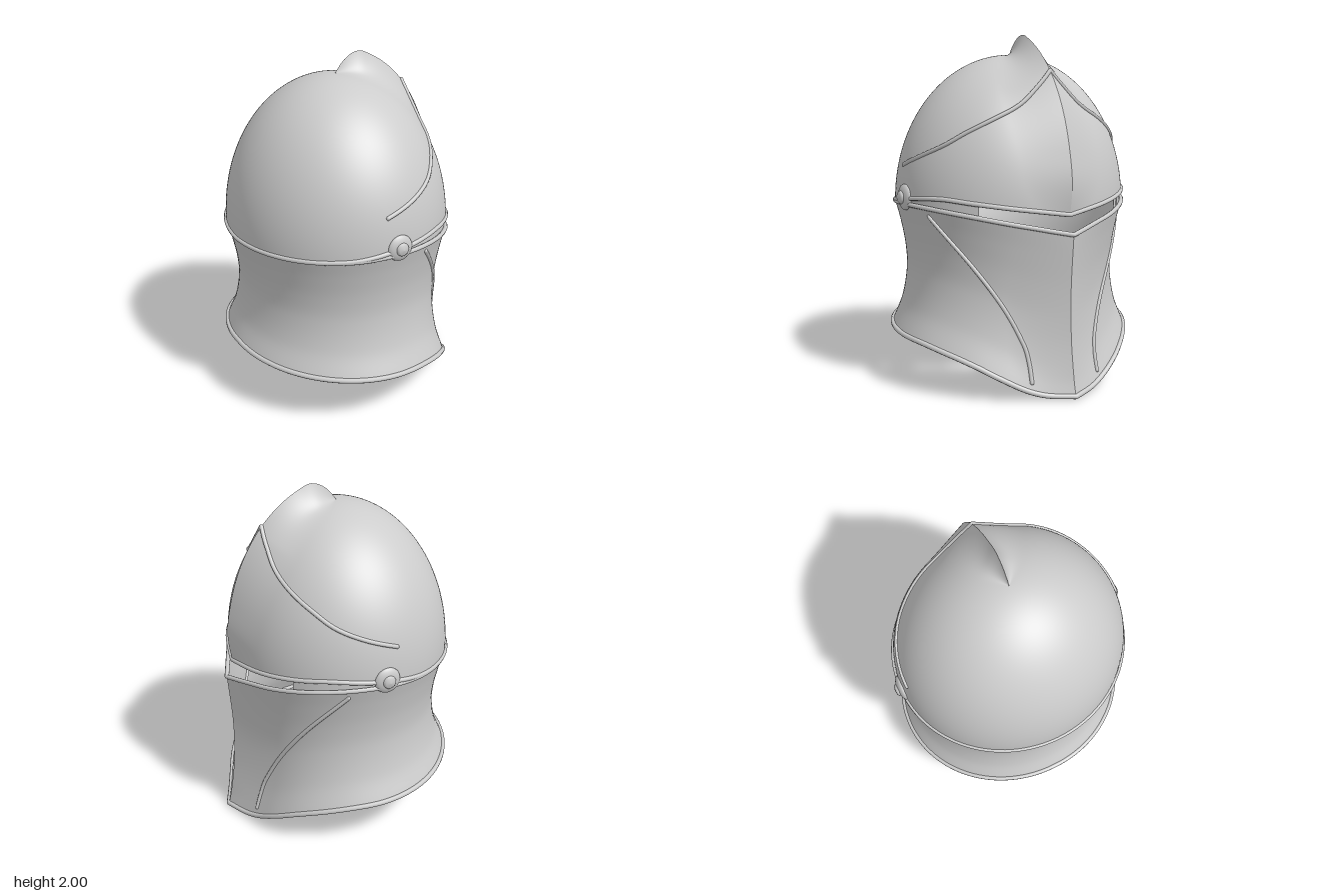
import * as THREE from 'three';

// Smooth 1D interpolation through [x, y] pairs
function curve(p) {
  const slope = (i) => {
    const a = p[Math.max(i - 1, 0)], b = p[Math.min(i + 1, p.length - 1)];
    return (b[1] - a[1]) / (b[0] - a[0]);
  };
  return (x) => {
    let i = 0;
    while (i < p.length - 2 && x > p[i + 1][0]) i++;
    const h = p[i + 1][0] - p[i][0];
    const t = THREE.MathUtils.clamp((x - p[i][0]) / h, 0, 1), t2 = t * t, t3 = t2 * t;
    return (2 * t3 - 3 * t2 + 1) * p[i][1] + (t3 - 2 * t2 + t) * h * slope(i)
      + (3 * t2 - 2 * t3) * p[i + 1][1] + (t3 - t2) * h * slope(i + 1);
  };
}

// Shared ellipse of the plan; angle 0 is the pointed face (+x), PI the back
const CX = -0.03, CY = 1.04, RX = 0.64, RY = 0.85, RZ = 0.69;
const fold = (a) => Math.abs(Math.atan2(Math.sin(a), Math.cos(a)));

// Edge heights by angle from the face
const browY = curve([[0, 1.02], [0.37, 1.055], [0.8, 1.09], [1.1, 1.105], [1.57, 1.08], [2, 1.045], [Math.PI, 1.02]]);
const slotY = curve([[0, 0.915], [0.35, 0.963], [0.8, 1.018], [1.2, 1.047], [1.57, 1.052], [2, 1.042], [Math.PI, 1.02]]);
const hemY = curve([[0, 0.016], [0.2, 0.028], [0.355, 0.06], [0.56, 0.13], [0.77, 0.2], [0.985, 0.25], [1.25, 0.287], [1.57, 0.3], [Math.PI, 0.355]]);

// Keel height along the dome, skirt waist and keel of the skirt
const keel = curve([[0, 0], [0.1, 0.085], [0.2, 0.131], [0.3, 0.128], [0.6, 0.105], [0.9, 0.078], [1.2, 0.055], [1.4, 0.045], [1.6, 0.015]]);
const waist = curve([[0, 1], [0.15, 0.958], [0.35, 0.918], [0.55, 0.908], [0.8, 0.952], [1, 1.036]]);
const skirtTip = curve([[0, 0.665], [0.35, 0.643], [0.65, 0.65], [0.9, 0.68], [1, 0.7]]);

function domePoint(a, phi) {
  const s = Math.sin(phi), c = Math.cos(phi), h = keel(phi);
  // The keel reaches to where its flank would touch the ellipse; it is a thin crest on top
  const reach = Math.acos(RX * s / (RX * s + h + 1e-6));
  const power = THREE.MathUtils.lerp(4.5, 2, Math.min(phi / 0.7, 1));
  const k = h * Math.pow(Math.max(0, 1 - fold(a) / reach), power);
  return new THREE.Vector3(
    CX + (RX + k) * s * Math.cos(a),
    CY + (RY + k) * c,
    (RZ + k) * s * Math.sin(a));
}
const browPhi = (a) => Math.acos((browY(fold(a)) - CY) / RY);
const browPoint = (a) => domePoint(a, browPhi(a));

function skirtPoint(a, t) {
  const f = fold(a), w = waist(t);
  // Flat flanks run from the tip until they touch the ellipse
  const touch = Math.acos(RX * w / (skirtTip(t) - CX));
  const r = f < touch ? w / Math.cos(touch - f) : w;
  return new THREE.Vector3(
    CX + RX * r * Math.cos(a),
    THREE.MathUtils.lerp(slotY(f), hemY(f), t),
    RZ * r * Math.sin(a));
}
const skirtAt = (a, y) => skirtPoint(a, (slotY(a) - y) / (slotY(a) - hemY(a)));

// Sheet from a point function of u and v in 0..1
function sheet(fn, nu, nv) {
  const pos = [], idx = [];
  for (let j = 0; j <= nv; j++)
    for (let i = 0; i <= nu; i++) pos.push(...fn(i / nu, j / nv).toArray());
  for (let j = 0; j < nv; j++)
    for (let i = 0; i < nu; i++) {
      const p = j * (nu + 1) + i, q = p + nu + 1;
      idx.push(p, p + 1, q, p + 1, q + 1, q);
    }
  const g = new THREE.BufferGeometry();
  g.setAttribute('position', new THREE.Float32BufferAttribute(pos, 3));
  g.setIndex(idx);
  g.computeVertexNormals();
  return g;
}

// Full turn starting at the keel, with finer steps close to it
function turn(u) {
  const s = 2 * u - 1;
  return Math.PI * (1 + Math.sign(s) * (1 - Math.pow(1 - Math.abs(s), 1.5)));
}

export function createModel() {
  const group = new THREE.Group();
  const steel = new THREE.MeshStandardMaterial({ color: 0xcccccc, side: THREE.DoubleSide });
  steel.name = 'steel';
  const add = (name, geometry) => {
    const m = new THREE.Mesh(geometry, steel);
    m.name = name;
    group.add(m);
    return m;
  };

  // Shells
  add('dome', sheet((u, v) => domePoint(turn(u), v * browPhi(turn(u))), 140, 56));
  add('skirt', sheet((u, v) => skirtPoint(turn(u), v), 140, 32));

  // Rolled edges
  const ring = (name, fn, radius) => {
    const pts = [];
    for (let i = 0; i < 120; i++) pts.push(fn(turn(i / 120)));
    add(name, new THREE.TubeGeometry(new THREE.CatmullRomCurve3(pts, true), 240, radius, 8, true));
  };
  ring('browTrim', browPoint, 0.013);
  ring('slotTrim', (a) => skirtPoint(a, 0), 0.013);
  ring('hemTrim', (a) => skirtPoint(a, 1), 0.015);

  // Raised line along a surface, closed with round ends
  const ridge = (name, pts, radius) => {
    const path = new THREE.CatmullRomCurve3(pts);
    add(name, new THREE.TubeGeometry(path, 64, radius, 8));
    for (const p of [pts[0], pts[pts.length - 1]])
      add(name + 'End', new THREE.SphereGeometry(radius, 8, 6)).position.copy(p);
  };
  const browLine = curve([[0, 0.65], [0.2, 0.745], [0.37, 0.835], [0.64, 0.945], [0.9, 1.05], [1.1, 1.14], [1.355, 1.22], [1.66, 1.3]]);
  const cheekLine = curve([[0.1, 0.315], [0.2, 0.33], [0.3, 0.37], [0.5, 0.54], [0.73, 0.82], [1, 1.22]]);

  for (const [side, s] of [['left', 1], ['right', -1]]) {
    const flip = (p) => p.setZ(p.z * s);
    const brow = [], cheek = [];
    for (let i = 0; i <= 24; i++) {
      const a = 1.66 * i / 24, y = 0.1 + 0.9 * i / 24;
      brow.push(flip(domePoint(a, browLine(a))));
      cheek.push(flip(skirtAt(cheekLine(y), y)));
    }
    ridge(side + 'BrowRidge', brow, 0.012);
    ridge(side + 'CheekRidge', cheek, 0.012);

    // Recessed wall closing the rear of the eye slot
    add(side + 'SlotWall', sheet((u, v) => {
      const a = s * (s > 0 ? 0.74 + 1.24 * u : 1.98 - 1.24 * u);
      const p = browPoint(a).lerp(skirtPoint(a, 0), v);
      return p.set(p.x * 0.985, p.y, p.z * 0.985);
    }, 24, 2));

    // Visor pivot: shallow disc with a raised knob
    const turned = (name, profile) => {
      const m = add(name, new THREE.LatheGeometry(profile.map(([r, h]) => new THREE.Vector2(r, h)), 32));
      m.rotation.x = s * Math.PI / 2;
      m.position.set(-0.02, 1.09, s * 0.69);
    };
    turned(side + 'PivotDisc', [[0.066, -0.014], [0.075, -0.004], [0.072, 0.004], [0.058, 0.014], [0.036, 0.021], [0, 0.023]]);
    turned(side + 'PivotKnob', [[0.038, 0.016], [0.036, 0.028], [0.026, 0.036], [0, 0.04]]);
  }
  return group;
}
